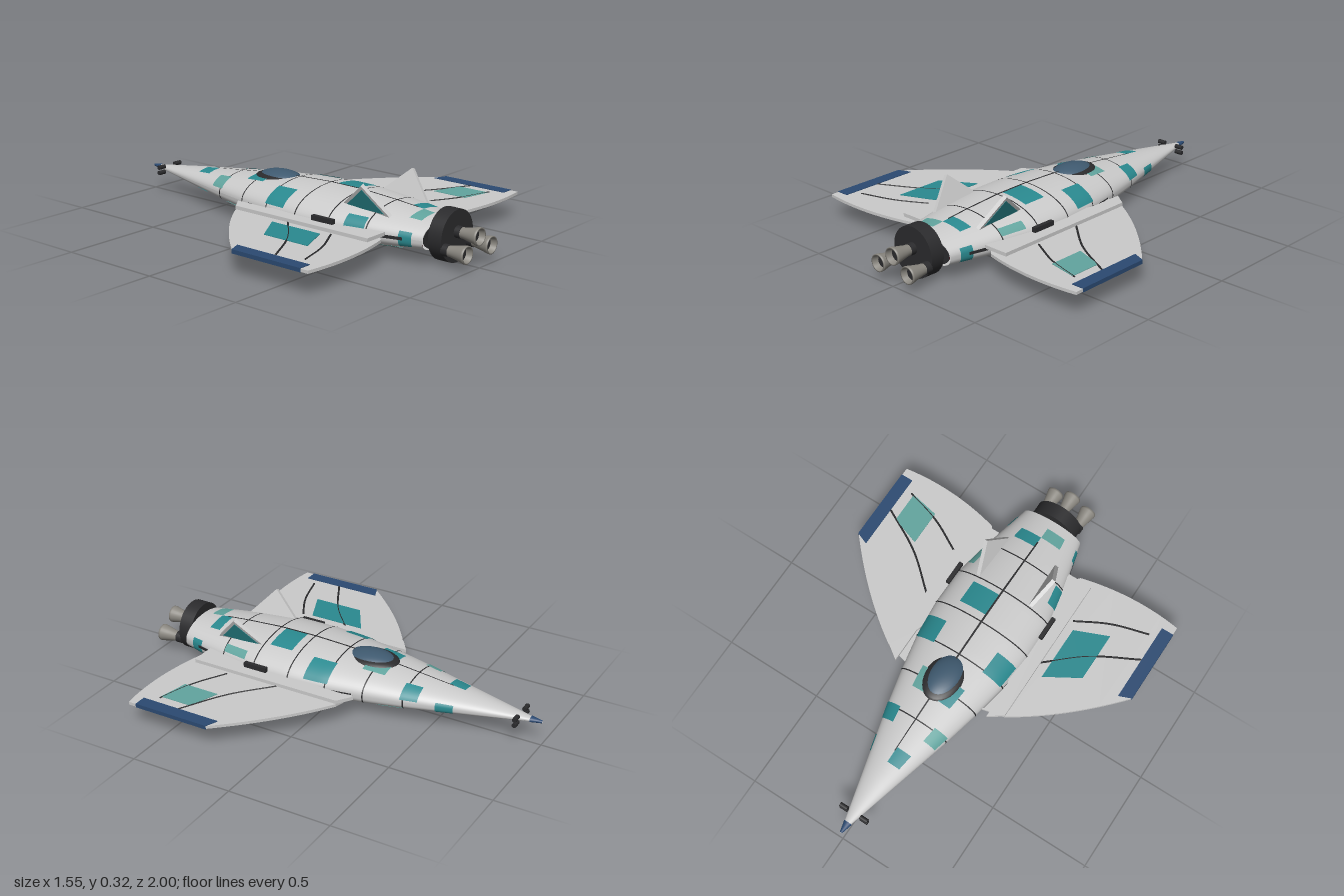
import * as THREE from 'three';

const mat = (color, double) => new THREE.MeshStandardMaterial({ color, side: double ? THREE.DoubleSide : THREE.FrontSide });
const GREY = mat(0xcccccc), GREY2 = mat(0xcccccc, true), DARK = mat(0x2b2b2d), TEAL = mat(0x2a8a90, true),
  PALE = mat(0x62a59f, true), BLUE = mat(0x2b4a72), GLASS = mat(0x3f5a70), METAL = mat(0x8a8780, true), RED = mat(0x5a2028);

// Fuselage stations: z, half width, height above and below the centre line
const CY = 0.125;
const STATIONS = [
  [-1, 0.003, 0.003, 0.003], [-0.7, 0.082, 0.04, 0.03], [-0.385, 0.165, 0.075, 0.055],
  [-0.2, 0.207, 0.095, 0.066], [0, 0.245, 0.109, 0.075], [0.17, 0.26, 0.115, 0.08],
  [0.36, 0.258, 0.113, 0.08], [0.55, 0.222, 0.1, 0.075], [0.81, 0.16, 0.075, 0.06],
];

function hullPoint(z, a, off) {
  let i = 0;
  while (i < STATIONS.length - 2 && z > STATIONS[i + 1][0]) i++;
  const p = STATIONS[i], q = STATIONS[i + 1], t = (z - p[0]) / (q[0] - p[0]);
  const [w, up, down] = [1, 2, 3].map((k) => p[k] + (q[k] - p[k]) * t + off);
  const c = Math.cos(a), s = Math.sin(a), e = s < 0 ? 2 / 3 : 1; // squarer belly
  const bend = (v) => Math.sign(v) * Math.pow(Math.abs(v), e);
  return [w * bend(c), CY + (s < 0 ? down : up) * bend(s), z];
}

// A piece of the hull surface between two stations and two angles (degrees, 0 = left side, 90 = top)
function skin(z0, z1, a0, a1, off = 0, nz = 6, na = 8) {
  const pos = [], idx = [];
  for (let j = 0; j <= nz; j++) {
    for (let i = 0; i <= na; i++) {
      pos.push(...hullPoint(z0 + (z1 - z0) * j / nz, THREE.MathUtils.degToRad(a0 + (a1 - a0) * i / na), off));
      if (i < na && j < nz) {
        const k = j * (na + 1) + i;
        idx.push(k, k + 1, k + na + 1, k + 1, k + na + 2, k + na + 1);
      }
    }
  }
  const g = new THREE.BufferGeometry();
  g.setAttribute('position', new THREE.Float32BufferAttribute(pos, 3));
  g.setIndex(idx);
  g.computeVertexNormals();
  return g;
}

// Flat horizontal plate from an outline in x and z
function plate(shape, top, thickness) {
  return new THREE.ExtrudeGeometry(shape, { depth: thickness, bevelEnabled: false, curveSegments: 16 })
    .rotateX(Math.PI / 2).translate(0, top, 0);
}
const outline = (pts, s = 1) => new THREE.Shape(pts.map(([x, z]) => new THREE.Vector2(x * s, z)));

export function createModel() {
  const model = new THREE.Group();
  const add = (name, geo, material, x = 0, y = 0, z = 0) => {
    const m = new THREE.Mesh(geo, material);
    m.name = name;
    m.position.set(x, y, z);
    model.add(m);
    return m;
  };

  // Fuselage, nose tip and panel seams
  add('fuselage', skin(-1, 0.81, -180, 180, 0, 60, 64), GREY2);
  add('tailPlate', new THREE.CircleGeometry(1, 32).scale(0.155, 0.066, 1), DARK, 0, CY, 0.809);
  add('noseTip', skin(-1, -0.945, -180, 180, 0.003, 2, 24), BLUE);
  for (const z of [-0.385, -0.2, -0.02, 0.17, 0.36, 0.55])
    add('hullSeam', skin(z - 0.003, z + 0.003, -180, 180, 0.0015, 1, 64), DARK);
  add('spineSeam', skin(-0.56, 0.67, 89, 91, 0.003, 40, 1), DARK);

  // Painted hull panels: z range, angle range, colour
  const panels = [
    [-0.62, -0.54, 90, 127, TEAL], [-0.45, -0.37, 124, 165, PALE], [-0.45, -0.37, 10, 56, TEAL],
    [-0.26, -0.15, 101, 122, TEAL], [-0.26, -0.15, 58, 79, PALE], [-0.03, 0.09, 15, 56, TEAL],
    [-0.03, 0.09, 124, 165, TEAL], [0.21, 0.33, 56, 90, TEAL], [0.44, 0.54, 145, 175, TEAL],
    [0.64, 0.7, 55, 90, TEAL], [0.7, 0.76, 90, 124, PALE], [0.42, 0.55, 18, 35, PALE],
    [0.7, 0.76, -25, 20, TEAL], [0.7, 0.76, 160, 205, TEAL], [0.34, 0.45, -50, -15, PALE],
    [0.1, 0.21, -80, -45, TEAL], [-0.37, -0.25, -80, -40, PALE], [-0.61, -0.53, -25, 20, TEAL],
    [-0.61, -0.53, 225, 265, TEAL], [-0.36, -0.25, 215, 255, PALE], [-0.12, 0, 240, 270, TEAL],
    [0.1, 0.22, 215, 250, TEAL], [0.4, 0.52, 220, 255, TEAL], [0.58, 0.68, 215, 245, PALE],
  ];
  for (const [z0, z1, a0, a1, m] of panels) add('paintedPanel', skin(z0, z1, a0, a1, 0.0025), m);

  // Canopy and frame
  add('canopyFrame', new THREE.SphereGeometry(1, 32, 16).scale(0.093, 0.03, 0.134), DARK, 0, 0.208, -0.142);
  add('canopyGlass', new THREE.SphereGeometry(1, 32, 16).scale(0.08, 0.04, 0.122), GLASS, 0, 0.208, -0.138);

  for (const s of [1, -1]) {
    // Wing with curved leading and trailing edges
    const wing = new THREE.Shape();
    wing.moveTo(0.2 * s, -0.16);
    wing.lineTo(0.325 * s, -0.13);
    wing.quadraticCurveTo(0.56 * s, 0.02, 0.775 * s, 0.27);
    wing.lineTo(0.775 * s, 0.69);
    wing.quadraticCurveTo(0.52 * s, 0.73, 0.255 * s, 0.66);
    wing.lineTo(0.2 * s, 0.6);
    add('wing', plate(wing, 0.124, 0.014), GREY);
    add('wingTip', plate(outline([[0.715, 0.245], [0.777, 0.27], [0.777, 0.65], [0.715, 0.65]], s), 0.127, 0.019), BLUE);
    add('wingPanel', plate(s < 0
      ? outline([[-0.53, 0.23], [-0.365, 0.13], [-0.365, 0.41], [-0.53, 0.48]])
      : outline([[0.52, 0.38], [0.665, 0.43], [0.665, 0.59], [0.52, 0.56]]), 0.1265, 0.019), s < 0 ? TEAL : PALE);

    // Curved wing seams
    for (const pts of [[[0.32, 0.185], [0.5, 0.34], [0.715, 0.46]], [[0.34, 0.45], [0.5, 0.535], [0.68, 0.59]]]) {
      const path = new THREE.CatmullRomCurve3(pts.map(([x, z]) => new THREE.Vector3(x * s, 0.117, z)));
      // mirrored on the left and right, visible above and below
      const seam = new THREE.TubeGeometry(path, 16, 0.0065, 8).translate(0, -0.117, 0).scale(1, 1.7, 1);
      add('wingSeam', seam, DARK, 0, 0.117, 0);
    }

    // Strake along the wing root, side seam and side pod
    add('strake', plate(outline([[0.255, -0.18], [0.325, -0.13], [0.325, 0.64], [0.2, 0.64], [0.22, 0.1], [0.255, 0]], s), 0.142, 0.017), GREY);
    add('sideSeam', skin(-0.15, 0.72, s > 0 ? -3 : 177, s > 0 ? 3 : 183, 0.003, 20, 2), DARK);
    add('sidePod', new THREE.BoxGeometry(0.02, 0.024, 0.12), DARK, 0.262 * s, 0.153, 0.34);

    // Canted triangular tail fin with a painted outer face
    const fin = new THREE.Shape([[0.345, 0.195], [0.5, 0.335], [0.63, 0.185]].map(([z, y]) => new THREE.Vector2(z, y - 0.195)));
    const finPaint = new THREE.Shape([[0.385, 0.212], [0.5, 0.315], [0.595, 0.206]].map(([z, y]) => new THREE.Vector2(z, y - 0.195)));
    const stand = (shape, d, shift) => {
      const g = new THREE.ExtrudeGeometry(shape, { depth: d, bevelEnabled: false });
      return g.translate(0, 0, -d / 2 + shift * s).rotateY(-Math.PI / 2).scale(-1, 1, 1).rotateY(0);
    };
    for (const [name, geo, m] of [['tailFin', stand(fin, 0.02, 0), GREY2], ['finPanel', stand(finPaint, 0.002, 0.0105), TEAL]]) {
      // reverse the corners turned over by the mirroring
      const p = geo.attributes.position, n = geo.attributes.normal;
      for (let i = 0; i < p.count; i += 3) {
        for (const at of [p, n]) {
          const a = [at.getX(i), at.getY(i), at.getZ(i)];
          at.setXYZ(i, at.getX(i + 1), at.getY(i + 1), at.getZ(i + 1));
          at.setXYZ(i + 1, ...a);
        }
      }
      add(name, geo, m, 0.138 * s, 0.195, 0).rotation.z = -0.37 * s;
    }

    // Nose thrusters
    for (const y of [0.112, 0.14])
      add('noseThruster', new THREE.CylinderGeometry(0.011, 0.011, 0.04, 12).rotateZ(Math.PI / 2), DARK, 0.055 * s, y, -0.895);
  }

  // Engine block
  add('engineBlock', new THREE.CylinderGeometry(0.12, 0.12, 0.07, 40).rotateX(Math.PI / 2), DARK, 0, CY, 0.845);

  // Three bell nozzles
  const bell = [[0.024, 0], [0.026, 0.03], [0.034, 0.07], [0.041, 0.1], [0.041, 0.11], [0.035, 0.11], [0.026, 0.06], [0.018, 0.02]];
  for (const [x, y] of [[0, 0.145], [0.093, 0.085], [-0.093, 0.085]]) {
    add('nozzle', new THREE.LatheGeometry(bell.map(([r, h]) => new THREE.Vector2(r, h)), 28).rotateX(Math.PI / 2), METAL, x, y, 0.89);
    add('nozzleCollar', new THREE.CylinderGeometry(0.028, 0.028, 0.03, 24).rotateX(Math.PI / 2), DARK, x, y, 0.892);
    add('nozzleThroat', new THREE.CylinderGeometry(0.029, 0.022, 0.035, 24).rotateX(Math.PI / 2), DARK, x, y, 0.955);
  }

  // Row of small belly vents
  for (let i = 0; i < 4; i++)
    add('bellyVent', new THREE.CylinderGeometry(0.009, 0.009, 0.012, 12), RED, -0.06 + i * 0.04, 0.062, 0.73);

  return model;
}
